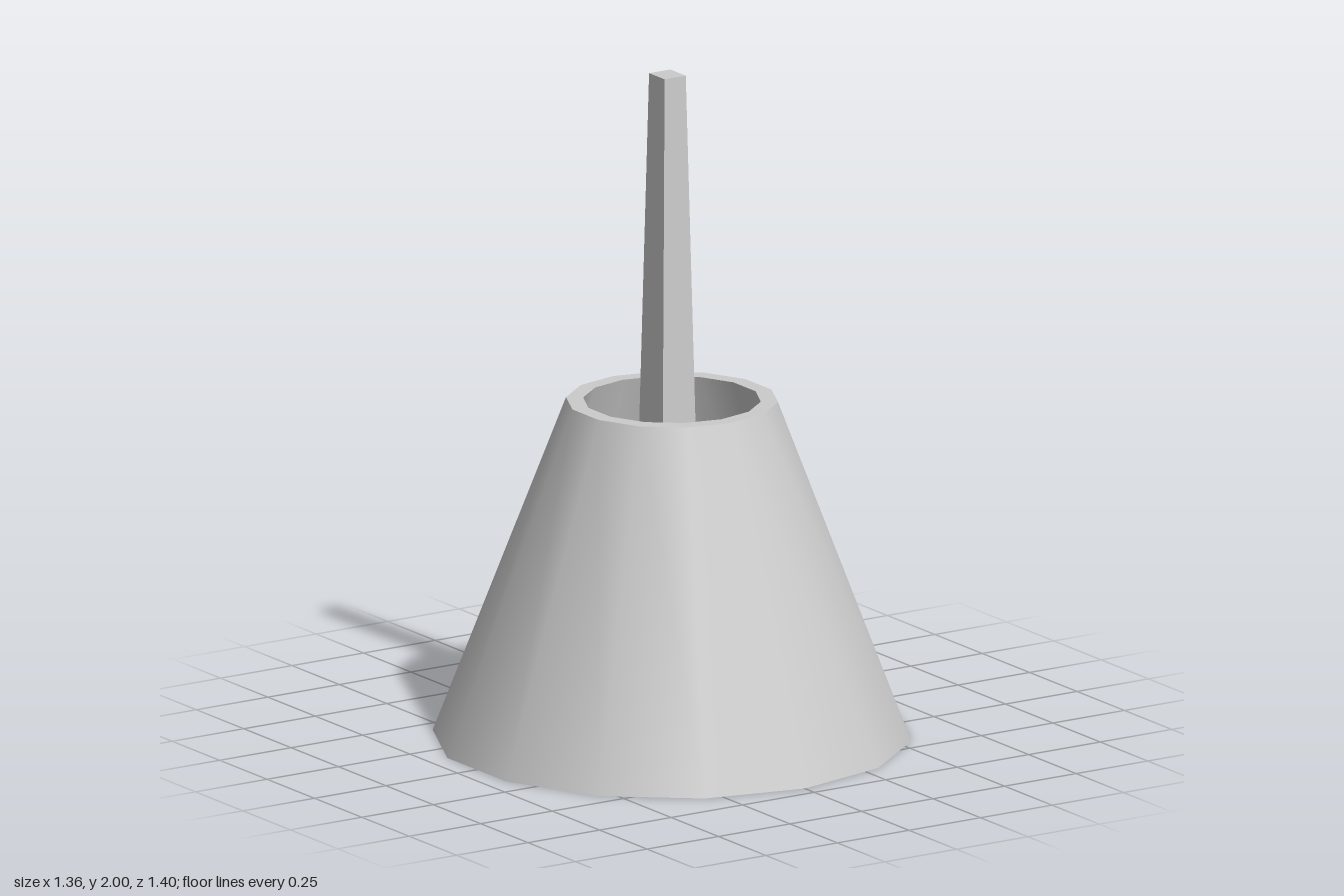
import * as THREE from 'three';

const SIDES = 14;

// Box from y0 to y1 with separate bottom and top sizes [x, z]
function taperedBox(y0, y1, bottom, top) {
  const geo = new THREE.BoxGeometry(1, y1 - y0, 1);
  const pos = geo.attributes.position;
  for (let i = 0; i < pos.count; i++) {
    const [w, d] = pos.getY(i) > 0 ? top : bottom;
    pos.setX(i, pos.getX(i) * w);
    pos.setZ(i, pos.getZ(i) * d);
  }
  geo.translate(0, (y0 + y1) / 2, 0);
  geo.computeVertexNormals();
  return geo;
}

export function createModel() {
  const model = new THREE.Group();
  model.name = 'hollowConeWithPost';
  const material = new THREE.MeshStandardMaterial({ color: 0xcccccc });

  const add = (name, geometry, parent = model) => {
    const mesh = new THREE.Mesh(geometry, material);
    mesh.name = name;
    parent.add(mesh);
    return mesh;
  };

  // Hollow cone: each wall or rim is its own band, so the rims stay sharp
  const cone = new THREE.Group();
  cone.name = 'cone';
  model.add(cone);
  const height = 1.015;
  const outerBottom = [0.7, 0], outerTop = [0.31, height];
  const innerTop = [0.26, height], innerBottom = [0.577, 0];
  const bands = {
    outerWall: [outerBottom, outerTop],
    topRim: [outerTop, innerTop],
    innerWall: [innerTop, innerBottom],
    bottomRim: [innerBottom, outerBottom],
  };
  for (const [name, ends] of Object.entries(bands)) {
    const profile = ends.map(([r, y]) => new THREE.Vector2(r, y));
    add(name, new THREE.LatheGeometry(profile, SIDES), cone);
  }

  // Crossbar set into the inner wall just below the top rim
  add('crossbar', taperedBox(0.77, 0.9, [0.62, 0.143], [0.62, 0.13]));

  // Tapered post, slightly off centre, standing on the crossbar
  const post = add('post', taperedBox(0.88, 2, [0.117, 0.127], [0.074, 0.082]));
  post.position.x = -0.016;

  return model;
}
